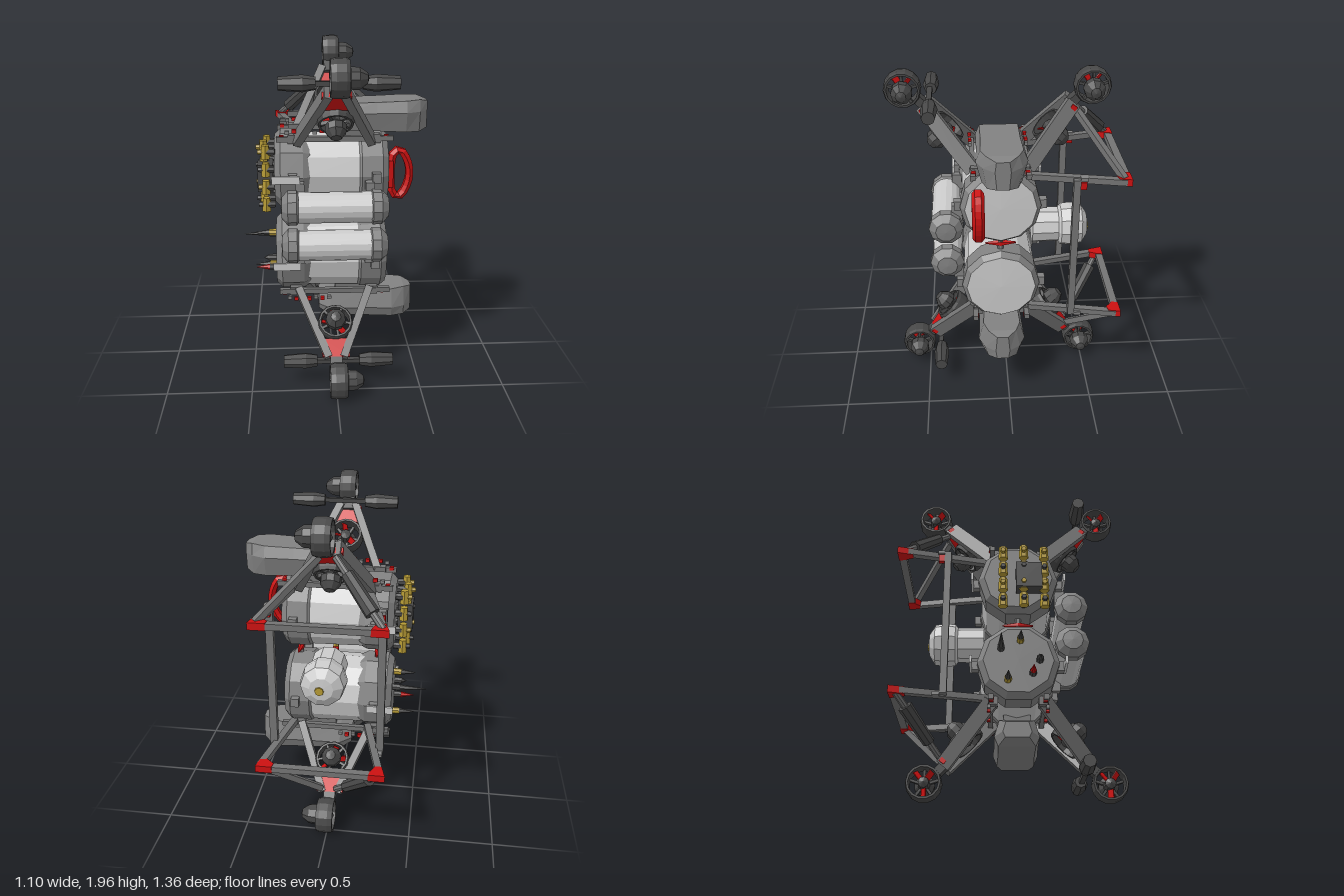
import * as THREE from 'three';

const V = (x, y, z) => new THREE.Vector3(x, y, z);
const LIGHT = 0xcccccc, MID = 0x828282, FRAME = 0x747474, DARK = 0x484848, RED = 0xcc1111, BRASS = 0xb59a35;
const ZC = 0.04, YC = 1.005; // centre of the symmetric layout
const mats = {};
const mat = (c) => (mats[c] ??= new THREE.MeshStandardMaterial({ color: c, flatShading: true, side: THREE.DoubleSide }));

export function createModel() {
  const root = new THREE.Group();
  root.name = 'underwaterVehicle';

  const add = (parent, name, geo, color) => {
    const m = new THREE.Mesh(geo, mat(color));
    m.name = name;
    parent.add(m);
    return m;
  };
  const box = (parent, name, x, y, z, w, h, d, color) => {
    const m = add(parent, name, new THREE.BoxGeometry(w, h, d), color);
    m.position.set(x, y, z);
    return m;
  };
  // tapered rod from a to b
  const rod = (parent, name, a, b, r1, r2, color, sides = 8) => {
    const m = add(parent, name, new THREE.CylinderGeometry(r2, r1, a.distanceTo(b), sides), color);
    m.position.lerpVectors(a, b, 0.5);
    m.quaternion.setFromUnitVectors(V(0, 1, 0), b.clone().sub(a).normalize());
    return m;
  };
  // rectangular beam from a to b; h is measured along the hint direction
  const beam = (parent, name, a, b, w, h, color, hint = V(0, 1, 0)) => {
    const d = b.clone().sub(a).normalize();
    const s = hint.clone().cross(d).normalize();
    const m = add(parent, name, new THREE.BoxGeometry(w, h, a.distanceTo(b)), color);
    m.position.lerpVectors(a, b, 0.5);
    m.quaternion.setFromRotationMatrix(new THREE.Matrix4().makeBasis(s, d.clone().cross(s), d));
    return m;
  };
  // profile of [radius, x] pairs turned around the x axis
  const turned = (parent, name, pts, sides, color) => {
    const geo = new THREE.LatheGeometry(pts.map(([r, x]) => new THREE.Vector2(r, x)), sides);
    return add(parent, name, geo.rotateZ(-Math.PI / 2), color);
  };
  // flat plate from an outline of [x, z] pairs, lying level
  const plate = (parent, name, outline, y, t, color) => {
    const shape = new THREE.Shape(outline.map(([x, z]) => new THREE.Vector2(x, -z)));
    const geo = new THREE.ExtrudeGeometry(shape, { depth: t, bevelEnabled: false }).rotateX(-Math.PI / 2);
    add(parent, name, geo, color).position.y = y - t / 2;
  };

  // ducted thruster whose axis is x
  const thruster = (name, r, w) => {
    const g = new THREE.Group();
    g.name = name;
    const t = r * 0.82;
    turned(g, 'duct', [[t, -w / 2], [r * 0.94, -w / 2], [r, -w * 0.2], [r, w * 0.3], [r * 0.93, w / 2], [t, w / 2], [t, -w / 2]], 14, DARK);
    turned(g, 'motor', [[0, -w * 0.5], [r * 0.3, -w * 0.35], [r * 0.34, w * 0.3], [r * 0.58, w * 0.55], [r * 0.56, w], [r * 0.28, w * 1.42], [0, w * 1.5]], 9, DARK);
    for (let i = 0; i < 5; i++) {
      const a = (i / 5) * Math.PI * 2;
      const c = Math.cos(a), s = Math.sin(a);
      beam(g, 'stator', V(w * 0.3, c * r * 0.3, s * r * 0.3), V(w * 0.3, c * t, s * t), 0.015, 0.025, DARK, V(1, 0, 0));
      if (i % 2 === 0) {
        const b = a + 0.6, cb = Math.cos(b), sb = Math.sin(b);
        const hint = V(1, -sb * 0.8, cb * 0.8);
        beam(g, 'propellerBlade', V(-w * 0.1, cb * r * 0.3, sb * r * 0.3), V(-w * 0.1, cb * t * 0.95, sb * t * 0.95), 0.006, r * 0.4, RED, hint);
      }
    }
    root.add(g);
    return g;
  };

  // buoyancy block: hexagonal section lofted along x
  const floatBlock = () => {
    const section = [[0.115, 0.097], [0.14, 0.03], [0.11, -0.09], [-0.11, -0.09], [-0.14, 0.03], [-0.115, 0.097]];
    const stations = [[-0.03, 0.6, 0.5], [0.04, 0.95, 0.85], [0.25, 0.95, 0.9], [0.42, 1, 0.97], [0.5, 0.75, 1], [0.55, 0.3, 0.85]];
    const pos = [], idx = [], n = section.length;
    stations.forEach(([x, sz, sy]) => section.forEach(([z, y]) => pos.push(x, y * sy, z * sz)));
    for (let i = 0; i + 1 < stations.length; i++)
      for (let j = 0; j < n; j++) {
        const a = i * n + j, b = i * n + (j + 1) % n;
        idx.push(a, a + n, b, b, a + n, b + n);
      }
    const e = (stations.length - 1) * n;
    for (let j = 1; j + 1 < n; j++) idx.push(0, j, j + 1, e, e + j + 1, e + j);
    const geo = new THREE.BufferGeometry();
    geo.setAttribute('position', new THREE.Float32BufferAttribute(pos, 3));
    geo.setIndex(idx);
    geo.computeVertexNormals();
    return geo;
  };

  // everything that repeats in the upper (k = 1) and lower (k = -1) halves
  for (const k of [1, -1]) {
    const half = new THREE.Group();
    half.name = k > 0 ? 'upperHalf' : 'lowerHalf';
    root.add(half);
    const Y = (y) => YC + k * (y - YC);
    const P = (x, y, z) => V(x, Y(y), z);

    // main pressure hull
    const hull = new THREE.Group();
    hull.name = 'pressureHull';
    hull.position.set(0, Y(1.27), ZC);
    half.add(hull);
    turned(hull, 'hullBody', [[0.215, -0.16], [0.22, 0.16]], 12, LIGHT);
    turned(hull, 'hullRightCap', [[0, -0.345], [0.2, -0.345], [0.235, -0.31], [0.235, -0.18], [0.215, -0.14]], 10, MID);
    turned(hull, 'hullLeftCollar', [[0.215, 0.14], [0.23, 0.16], [0.232, 0.28], [0.205, 0.315]], 12, MID);
    turned(hull, 'hullLeftCap', [[0.207, 0.312], [0, 0.318]], 12, LIGHT);
    for (const s of [1, -1]) {
      for (const x of [0.24, -0.24]) box(hull, 'clampLug', x, 0, s * 0.24, 0.05, 0.055, 0.05, MID);
      box(hull, 'clampPlate', -0.28, 0, s * 0.27, 0.16, 0.045, 0.015, LIGHT);
    }

    // small front cylinder with rounded ends
    const bottle = turned(half, 'frontBottle',
      [[0, -0.31], [0.06, -0.305], [0.1, -0.27], [0.1, -0.22], [0.085, -0.21], [0.085, 0.2], [0.1, 0.21], [0.1, 0.26], [0.06, 0.3], [0, 0.305]], 10, MID);
    bottle.position.set(0, Y(1.12), 0.355);
    const sleeve = turned(half, 'bottleSleeve', [[0.089, -0.21], [0.089, 0.21]], 16, LIGHT);
    sleeve.position.copy(bottle.position);
    for (const x of [-0.2, 0.2]) box(half, 'bottleBracket', x, Y(1.2), 0.29, 0.05, 0.1, 0.06, MID);

    // buoyancy block and its supports
    const block = add(half, 'buoyancyBlock', floatBlock(), MID);
    block.position.set(k > 0 ? 0 : -0.06, Y(1.59), ZC);
    block.rotation.x = k > 0 ? 0 : Math.PI;
    box(half, 'blockCradle', 0.12, Y(1.49), ZC, 0.22, 0.04, 0.16, FRAME);

    // legs, thrusters and gussets at front and rear
    for (const f of [1, -1]) {
      const Z = (d) => ZC + f * d;
      for (const s of [1, -1]) {
        beam(half, 'leg', P(s * 0.215, 1.47, Z(0.15)), P(s * 0.045, 1.795, Z(0.42)), 0.085, 0.045, FRAME, V(1, 0, 0));
        box(half, 'legFoot', s * 0.23, Y(1.48), Z(0.14), 0.07, 0.05, 0.05, FRAME);
        box(half, 'footBolt', s * 0.3, Y(1.49), Z(0.15), 0.025, 0.02, 0.025, RED);
      }
      beam(half, 'hullRail', P(-0.33, 1.48, Z(0.155)), P(0.34, 1.48, Z(0.155)), 0.03, 0.03, FRAME);
      beam(half, 'apexGusset', P(0, 1.7, Z(0.365)), P(0, 1.785, Z(0.43)), 0.035, 0.16, RED, V(1, 0, 0));
      beam(half, 'thrusterMount', P(0, 1.77, Z(0.4)), P(0, 1.83, Z(0.46)), 0.05, 0.07, DARK, V(1, 0, 0));
      const tip = thruster('endThruster', 0.105, 0.1);
      tip.position.set(0.01, Y(1.885), Z(0.53));
      const inner = thruster('innerThruster', 0.105, 0.09);
      inner.position.copy(P(0, 1.63, Z(0.3)));
      inner.quaternion.setFromUnitVectors(V(1, 0, 0), V(0, -k, f).normalize());
      // beaded cable lying beside the rail
      for (let i = 0; i < 7; i++)
        box(half, 'cableBead', -0.27 + i * 0.04, Y(1.52 + 0.008 * (i % 2)), Z(0.165), 0.025, 0.02, 0.02, i % 2 ? RED : MID);
    }

    // front lamps on a crossbar
    beam(half, 'lampBar', P(-0.2, 1.835, 0.425), P(0.2, 1.835, 0.425), 0.03, 0.025, DARK);
    for (const s of [1, -1]) {
      const x = s * 0.225 + 0.015;
      rod(half, 'lamp', P(x - s * 0.1, 1.835, 0.42), P(x - s * 0.03, 1.835, 0.42), 0.035, 0.047, DARK);
      rod(half, 'lamp', P(x - s * 0.03, 1.835, 0.42), P(x + s * 0.1, 1.835, 0.42), 0.047, 0.037, DARK);
    }

    // rear frame with crossbar, side beams, corner plates and diagonal struts
    const L = P(-0.325, 1.45, -0.655), R = P(0.365, 1.45, -0.655);
    beam(half, 'rearCrossbar', L, R, 0.045, 0.035, FRAME);
    beam(half, 'rearSideBeam', P(-0.2, 1.45, -0.13), L, 0.042, 0.035, FRAME);
    beam(half, 'rearSideBeam', P(0.26, 1.45, -0.13), R, 0.042, 0.035, FRAME);
    plate(half, 'rearCorner', [[-0.355, -0.68], [-0.26, -0.68], [-0.27, -0.635], [-0.29, -0.59], [-0.33, -0.59]], Y(1.45), 0.042, RED);
    plate(half, 'rearCorner', [[0.29, -0.68], [0.385, -0.68], [0.37, -0.61], [0.33, -0.6], [0.285, -0.64]], Y(1.45), 0.042, RED);
    beam(half, 'rearStrut', P(0.35, 1.46, -0.64), P(0.05, 1.75, -0.4), 0.035, 0.035, FRAME);
    rod(half, 'damperRod', P(-0.32, 1.46, -0.64), P(-0.04, 1.75, -0.4), 0.02, 0.02, FRAME);
    rod(half, 'damper', P(-0.26, 1.52, -0.59), P(-0.11, 1.68, -0.46), 0.042, 0.036, DARK);
    for (const x of [-0.3, 0.335]) {
      if (k > 0) box(half, 'postGusset', x, 1.42, -0.41, 0.03, 0.045, 0.05, RED);
      box(half, 'beamLug', x, Y(1.46), -0.42, 0.035, 0.02, 0.04, MID);
    }

    // connectors on the right end cap
    if (k > 0) {
      box(half, 'connectorBlock', -0.4, 1.24, 0.1, 0.09, 0.16, 0.15, DARK);
      for (let i = 0; i < 4; i++)
        for (let j = 0; j < 3; j++) {
          const y = 1.09 + i * 0.105, z = -0.05 + j * 0.12, x = j === 1 ? -0.41 : -0.395;
          rod(half, 'connector', V(-0.34, y, z), V(x, y, z), 0.02, 0.024, DARK, 7);
          rod(half, 'connectorNut', V(x, y - 0.04, z), V(x, y + 0.04, z), 0.028, 0.024, BRASS, 6);
          rod(half, 'connectorPlug', V(x, y, z), V(x - 0.045, y, z), 0.018, 0.014, i % 2 ? BRASS : DARK, 6);
        }
    } else {
      const plugs = [[0.81, -0.06, 0.55], [0.86, 0.05, 0.48], [0.66, 0.12, 0.47], [0.62, -0.02, 0.48], [0.74, 0.16, 0.42]];
      plugs.forEach(([y, z, end], i) => {
        rod(half, 'plugBase', V(-0.33, y, z), V(-0.39, y, z), 0.022, 0.02, i % 2 ? BRASS : DARK, 7);
        rod(half, 'plugTip', V(-0.39, y, z), V(-end, y, z), 0.018, 0.002, i === 2 ? RED : DARK, 6);
      });
    }
  }

  // rear posts joining both frames
  for (const x of [-0.3, 0.335])
    beam(root, 'rearPost', V(x, 0.55, -0.38), V(x, 1.46, -0.38), 0.045, 0.04, FRAME, V(0, 0, 1));

  // spacers between the two hulls
  for (const x of [-0.24, 0.02, 0.24]) {
    for (const s of [1, -1]) rod(root, 'hullClamp', V(x, YC, ZC), V(x, YC, ZC + s * 0.09), 0.022, 0.005, RED, 6);
    rod(root, 'hullTie', V(x, 0.93, ZC), V(x, 1.08, ZC), 0.018, 0.018, x < 0.1 && x > 0 ? BRASS : MID, 6);
  }

  // rear domed pod, axis along z
  const pod = turned(root, 'rearPod',
    [[0, 0], [0.11, 0], [0.107, 0.16], [0.128, 0.175], [0.135, 0.23], [0.125, 0.3], [0.07, 0.335], [0, 0.34]], 10, LIGHT);
  pod.position.set(0.03, 1.0, -0.16);
  pod.rotation.y = Math.PI / 2;
  rod(root, 'podPort', V(0.04, 0.99, -0.49), V(0.04, 0.99, -0.505), 0.03, 0.025, BRASS);

  // red lifting handle
  const loop = new THREE.CatmullRomCurve3([
    V(0.335, 1.2, 0), V(0.35, 1.14, 0), V(0.385, 1.125, 0), V(0.425, 1.18, 0), V(0.443, 1.27, 0),
    V(0.425, 1.35, 0), V(0.385, 1.405, 0), V(0.35, 1.39, 0), V(0.335, 1.33, 0)], true);
  const handle = add(root, 'handle', new THREE.TubeGeometry(loop, 18, 0.025, 6, true), RED);
  handle.scale.z = 1.4;
  handle.position.z = 0.17;
  box(root, 'handlePlate', 0.325, 1.265, 0.17, 0.04, 0.16, 0.07, RED);

  return root;
}
